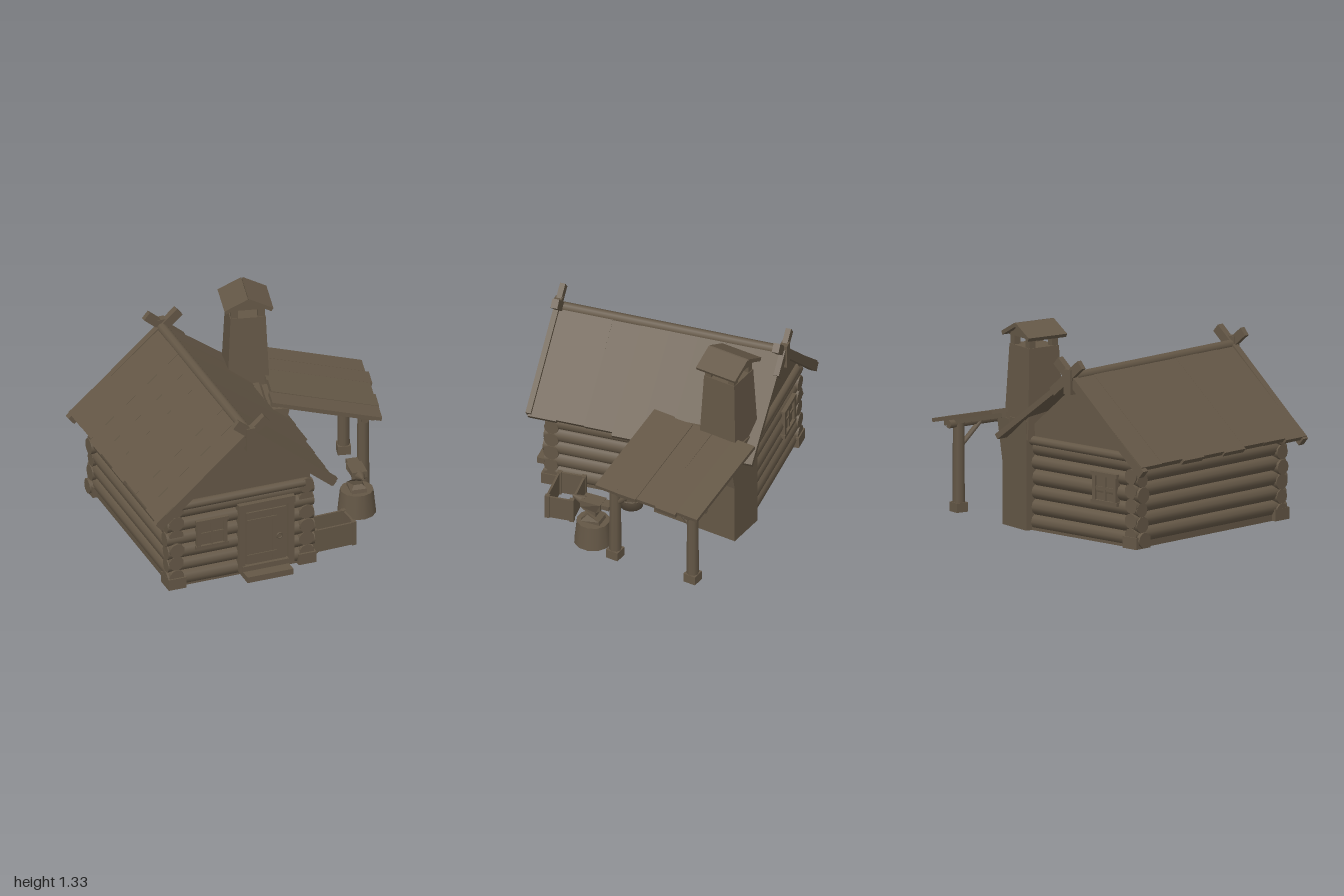
import * as THREE from 'three';

const brown = new THREE.MeshStandardMaterial({ color: 0x645746 });
brown.name = 'weatheredBrown';
const ember = new THREE.MeshStandardMaterial({ color: 0xb05c37 });
ember.name = 'emberOrange';

let seed = 7;
const rnd = (a) => { seed = (seed * 16807) % 2147483647; return (seed / 2147483647 - 0.5) * 2 * a; };
const V = (x, y, z) => new THREE.Vector3(x, y, z);

function add(group, name, geo, x = 0, y = 0, z = 0, mat = brown) {
  const m = new THREE.Mesh(geo, mat);
  m.name = name;
  m.position.set(x, y, z);
  group.add(m);
  return m;
}
const box = (g, name, w, h, d, x, y, z) => add(g, name, new THREE.BoxGeometry(w, h, d), x, y, z);

// Round log between two points
function log(g, name, a, b, r0, r1 = r0, sides = 10) {
  const d = b.clone().sub(a), mid = a.clone().add(b).multiplyScalar(0.5);
  const m = add(g, name, new THREE.CylinderGeometry(r1, r0, d.length(), sides), mid.x, mid.y, mid.z);
  m.quaternion.setFromUnitVectors(V(0, 1, 0), d.normalize());
  return m;
}

// Board in the xy direction from a to b, with its width along z
function board(g, name, a, b, thick, width) {
  const d = b.clone().sub(a), mid = a.clone().add(b).multiplyScalar(0.5);
  const m = box(g, name, d.length(), thick, width, mid.x, mid.y, mid.z);
  m.rotation.z = Math.atan2(d.y, d.x);
  return m;
}

function extrude(points, depth) {
  const s = new THREE.Shape(points.map(([x, y]) => new THREE.Vector2(x, y)));
  return new THREE.ExtrudeGeometry(s, { depth, bevelEnabled: false });
}

// Framed window with crossing bars
function windowFrame(g, x, y, z) {
  const w = new THREE.Group();
  w.name = 'window';
  w.position.set(x, y, z);
  box(w, 'pane', 0.18, 0.17, 0.008, 0, 0, 0);
  for (const s of [-1, 1]) {
    box(w, 'frameSide', 0.025, 0.19, 0.04, s * 0.09, 0, 0);
    box(w, 'frameRail', 0.22, 0.025, 0.045, 0, s * 0.09, 0);
  }
  box(w, 'barUpright', 0.016, 0.17, 0.025, 0, 0, 0);
  box(w, 'barAcross', 0.17, 0.016, 0.025, 0, 0, 0);
  g.add(w);
}

function buildHouse() {
  const g = new THREE.Group();
  g.name = 'house';
  g.position.set(-0.335, 0, -0.01);
  g.rotation.y = -0.04;
  const L = -0.47, R = 0.41, Z = 0.64;

  // Log walls with overlapping corner ends; the back right corner runs into the forge
  box(g, 'floor', 0.92, 0.05, 1.34, -0.04, 0.04, 0);
  box(g, 'innerWalls', 0.84, 0.57, 1.27, -0.03, 0.32, 0);
  for (let i = 0; i < 6; i++) {
    const y = 0.07 + i * 0.095;
    for (const s of [-1, 1]) {
      const x = s < 0 ? L : R;
      log(g, 'wallLog', V(-0.53 + rnd(0.012), y, s * Z), V((s < 0 ? 0.38 : 0.465) + rnd(0.012), y, s * Z), 0.051 + rnd(0.004));
      log(g, 'sideLog', V(x, y + 0.025, (s < 0 ? -0.69 : -0.45) + rnd(0.01)), V(x, y + 0.025, 0.69 + rnd(0.01)), 0.05);
    }
  }
  for (const [x, z] of [[L, -Z], [L, Z], [R, Z]]) box(g, 'cornerFoot', 0.12, 0.075, 0.13, x, 0.053, z);

  // Gables and tie beams
  const gable = extrude([[-0.49, 0.56], [0.44, 0.56], [0.44, 0.65], [0, 1.02], [-0.49, 0.63]], 0.05);
  for (const s of [-1, 1]) {
    add(g, 'gable', gable, 0, 0, s * 0.64 - 0.025);
    log(g, 'tieBeam', V(-0.46, 0.59, s * 0.67), V(0.4, 0.59, s * 0.67), 0.03);
  }

  // Plank roof, its right eave widening towards the back
  const n = 8, w = 1.51 / n;
  for (let i = 0; i < n; i++) {
    const z = -0.755 + w * (i + 0.5), e = rnd(0.01);
    board(g, 'roofPlank', V(-0.615 - e, 0.545 - e * 0.8, z), V(0, 1.055, z), 0.035 + rnd(0.005), w);
    board(g, 'roofPlank', V(0.6 - z * 0.05 + e, 0.59 - e * 0.8, z), V(0, 1.055, z), 0.035 + rnd(0.005), w);
  }
  log(g, 'ridgeLog', V(0, 1.053, -0.765), V(0, 1.053, 0.765), 0.034);

  // Bargeboards crossing above the ridge; the back right one stops short at the forge
  for (const s of [-1, 1]) {
    board(g, 'bargeboard', V(-0.62, 0.515, s * 0.735), V(0.115, 1.15, s * 0.735), 0.06, 0.045);
    board(g, 'bargeboard', V(-0.1, 1.15, s * 0.75), s < 0 ? V(0.14, 0.948, -0.75) : V(0.57, 0.6, 0.75), 0.06, 0.035);
    box(g, 'ridgePendant', 0.06, 0.16, 0.05, 0, 1.03, s * 0.752);
  }

  // Door, windows and steps
  box(g, 'doorBacking', 0.33, 0.44, 0.03, 0.13, 0.29, 0.675);
  for (let i = 0; i < 3; i++) box(g, 'doorPlank', 0.088, 0.38, 0.02, 0.04 + i * 0.09, 0.27, 0.692);
  for (const x of [-0.035, 0.295]) box(g, 'doorPost', 0.04, 0.47, 0.06, x, 0.285, 0.685);
  box(g, 'doorLintel', 0.38, 0.045, 0.07, 0.13, 0.51, 0.685);
  for (const y of [0.15, 0.4]) box(g, 'doorHinge', 0.2, 0.022, 0.01, 0.1, y, 0.704);
  add(g, 'doorRing', new THREE.TorusGeometry(0.018, 0.005, 6, 12), 0.22, 0.26, 0.706);
  box(g, 'lowerStep', 0.31, 0.04, 0.13, 0.12, 0.037, 0.735);
  box(g, 'upperStep', 0.31, 0.04, 0.06, 0.12, 0.072, 0.695);
  windowFrame(g, -0.235, 0.37, 0.685);
  windowFrame(g, -0.25, 0.37, -0.685);
  return g;
}

function buildForge() {
  const g = new THREE.Group();
  g.name = 'forge';
  g.position.set(0.18, 0, -0.54);
  g.rotation.y = -0.27;
  const C = 0.202; // centre of the fire opening

  // Hearth: front slab flaring near the top with an arched opening, and a solid back
  const arch = (P, r, y0, y1) => {
    const p = new P();
    p.moveTo(-C - r, y0);
    p.lineTo(-C - r, y1);
    p.absellipse(-C, y1, r, 0.8 * r, Math.PI, 0, true);
    p.lineTo(-C + r, y0);
    p.closePath();
    return p;
  };
  const outline = [[-0.46, 0.015], [0.14, 0.015], [0.14, 0.42], [0.14, 0.7], [-0.46, 0.7], [-0.46, 0.42]];
  const face = new THREE.Shape(outline.map(p => new THREE.Vector2(...p)));
  face.holes.push(arch(THREE.Path, 0.12, 0.17, 0.28));
  const slab = new THREE.ExtrudeGeometry(face, { depth: 0.13, bevelEnabled: false, curveSegments: 12 });
  const p = slab.attributes.position;
  for (let i = 0; i < p.count; i++) p.setZ(i, p.getZ(i) + Math.max(0, p.getY(i) - 0.42) * 0.22);
  slab.computeVertexNormals();
  add(g, 'hearthFace', slab, 0.02).rotation.y = Math.PI / 2;
  box(g, 'hearthBack', 0.185, 0.7, 0.6, -0.0275, 0.365, 0.16);
  const ring = arch(THREE.Shape, 0.14, 0.165, 0.285);
  ring.holes.push(arch(THREE.Path, 0.117, 0.17, 0.28));
  const trim = new THREE.ExtrudeGeometry(ring, { depth: 0.015, bevelEnabled: false, curveSegments: 12 });
  add(g, 'archTrim', trim, 0.145).rotation.y = Math.PI / 2;
  box(g, 'hearthSill', 0.03, 0.02, 0.27, 0.15, 0.165, C);

  // Glowing coals, heaped so the face leans back
  const coals = extrude([[-0.105, 0], [-0.105, 0.07], [-0.085, 0.075], [-0.045, 0.105], [-0.03, 0.135], [0.04, 0.135],
    [0.075, 0.12], [0.085, 0.085], [0.105, 0.06], [0.105, 0]].map(([u, y]) => [-u, y]), 0.008);
  coals.rotateX(-0.4);
  add(g, 'coals', coals, 0.115, 0.176, C, ember).rotation.y = Math.PI / 2;

  // Tapered chimney with a small gabled cap
  const stack = new THREE.CylinderGeometry(0.112 * Math.SQRT2, 0.138 * Math.SQRT2, 0.58, 4, 1).toNonIndexed();
  stack.computeVertexNormals();
  add(g, 'chimneyStack', stack, 0, 0.885, 0).rotation.y = Math.PI / 4;
  for (const x of [-0.085, 0.085]) for (const z of [-0.085, 0.085]) box(g, 'capPost', 0.045, 0.1, 0.045, x, 1.21, z);
  for (const s of [-1, 1]) board(g, 'capRoof', V(s * 0.15, 1.24, 0), V(0, 1.315, 0), 0.025, 0.29);
  for (const s of [-1, 1]) add(g, 'capGable', extrude([[-0.11, 1.235], [0.11, 1.235], [0, 1.305]], 0.015), 0, 0, s * 0.11 - 0.0075);

  // Lean-to roof
  for (let i = 0; i < 5; i++) {
    const z = -0.255 + 0.149 * (i + 0.5), e = rnd(0.012);
    const plank = board(g, 'leanToPlank', V(0.1 + rnd(0.012), 0.752, z), V(0.785 + e, 0.588 - e * 0.25, z), 0.027 + rnd(0.003), 0.149);
    plank.rotation.x = rnd(0.02);
  }
  for (const z of [-0.16, 0.42]) board(g, 'rafter', V(0.1, 0.725, z), V(0.755, 0.568, z), 0.035, 0.035);

  // Posts, beam and braces
  const posts = [V(0.645, 0, -0.14), V(0.685, 0, 0.41)];
  posts.forEach((q, i) => {
    log(g, 'post', V(q.x, 0.015, q.z), V(q.x, 0.6, q.z), 0.04, 0.037, 8);
    box(g, 'postFoot', 0.085, 0.06, 0.085, q.x, 0.045, q.z);
    log(g, 'brace', V(q.x, 0.42, q.z), V(q.x, 0.575, q.z + (i ? -0.16 : 0.16)), 0.018, 0.018, 6);
  });
  log(g, 'beam', V(0.64, 0.58, -0.22), V(0.69, 0.58, 0.47), 0.026, 0.026, 8);
  return g;
}

function buildProps() {
  const g = new THREE.Group();
  g.name = 'yardItems';

  // Barrel with hoops
  const prof = [[0, 0], [0.074, 0], [0.086, 0.08], [0.089, 0.14], [0.084, 0.2], [0.07, 0.27], [0.061, 0.27], [0.061, 0.25], [0, 0.25]];
  add(g, 'barrel', new THREE.LatheGeometry(prof.map(p => new THREE.Vector2(...p)), 16), 0.17, 0.015, 0.1);
  for (const y of [0.085, 0.215]) add(g, 'barrelHoop', new THREE.TorusGeometry(0.083, 0.006, 6, 18), 0.17, y, 0.1).rotation.x = Math.PI / 2;

  // Open crate
  const c = new THREE.Group();
  c.name = 'crate';
  c.position.set(0.29, 0, 0.495);
  add(c, 'crateUnderside', new THREE.PlaneGeometry(0.28, 0.17), 0, 0.01, 0).rotation.x = Math.PI / 2;
  for (const s of [-1, 1]) {
    box(c, 'crateLongSide', 0.29, 0.155, 0.014, 0, 0.082, s * 0.083);
    box(c, 'crateEnd', 0.014, 0.155, 0.165, s * 0.137, 0.082, 0);
    for (const t of [-1, 1]) box(c, 'cratePost', 0.03, 0.165, 0.03, s * 0.133, 0.0825, t * 0.08);
  }
  g.add(c);

  // Stump and anvil
  add(g, 'stump', new THREE.CylinderGeometry(0.106, 0.123, 0.16, 12), 0.605, 0.095, 0.22);
  const a = new THREE.Group();
  a.name = 'anvil';
  a.position.set(0.605, 0.175, 0.22);
  a.rotation.y = -0.15;
  const side = [[-0.065, 0], [0.065, 0], [0.06, 0.025], [0.03, 0.045], [0.03, 0.075], [0.07, 0.11], [0.07, 0.155], [-0.07, 0.155], [-0.07, 0.11], [-0.03, 0.075], [-0.03, 0.045], [-0.06, 0.025]];
  const body = extrude(side, 0.09);
  const p = body.attributes.position;
  for (let i = 0; i < p.count; i++) { // narrow waist
    const y = p.getY(i);
    p.setZ(i, (p.getZ(i) - 0.045) * (y > 0.04 && y < 0.08 ? 0.6 : 1.1));
  }
  body.computeVertexNormals();
  add(a, 'anvilBody', body).rotation.y = Math.PI / 2;
  log(a, 'anvilHorn', V(0, 0.125, 0.06), V(0, 0.145, 0.14), 0.036, 0.008, 10);
  box(a, 'anvilHeel', 0.075, 0.03, 0.07, 0, 0.138, -0.09);
  g.add(a);
  return g;
}

export function createModel() {
  const model = new THREE.Group();
  model.name = 'blacksmithCabin';
  model.add(buildHouse(), buildForge(), buildProps());
  return model;
}
